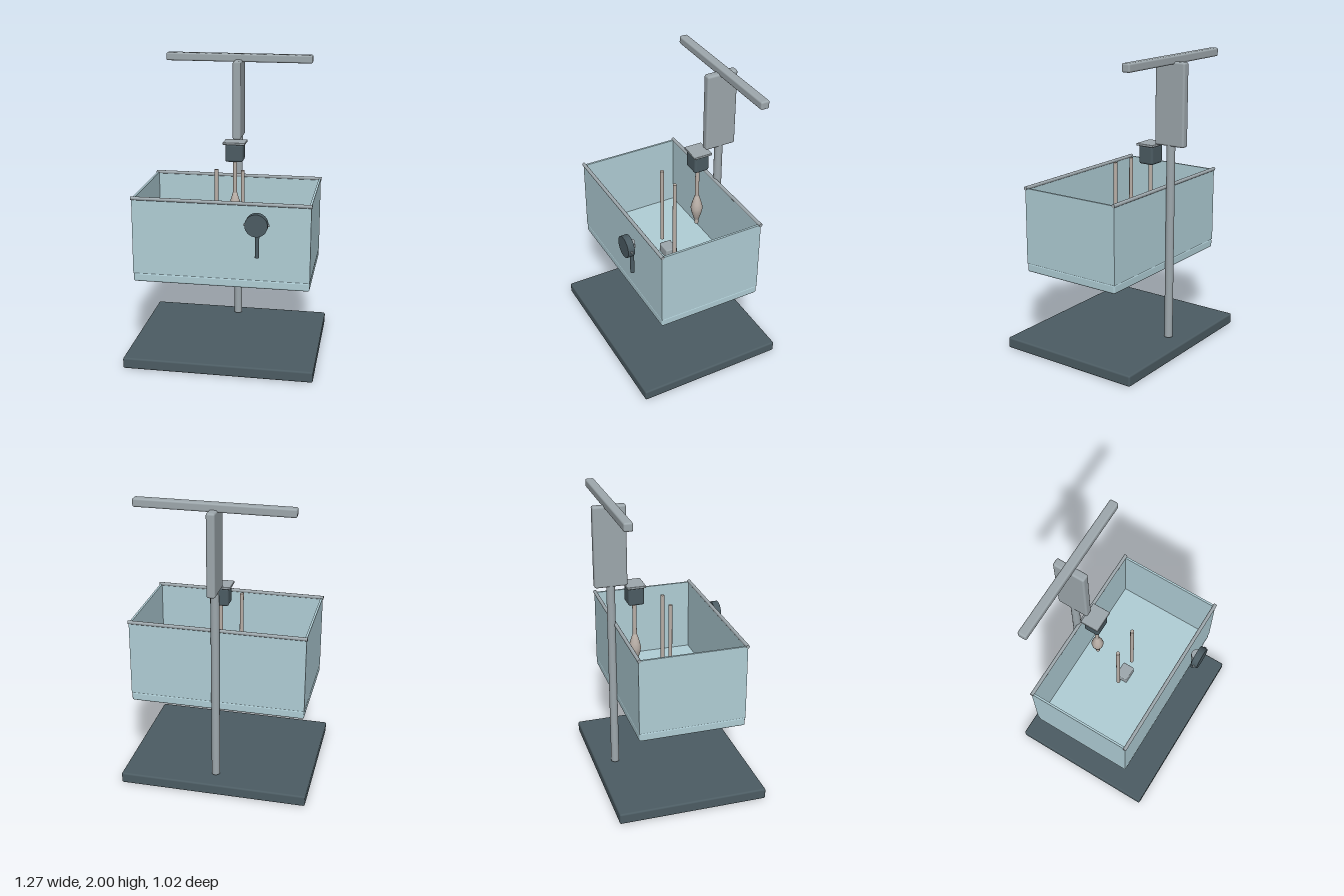
import * as THREE from 'three';
import { RoundedBoxGeometry } from 'three/addons/geometries/RoundedBoxGeometry.js';

const material = (name, color) => {
  const m = new THREE.MeshStandardMaterial({ color });
  m.name = name;
  return m;
};

export function createModel() {
  const model = new THREE.Group();
  model.name = 'laboratoryTank';
  const glass = material('paleBlueGlass', 0xb0ced6);
  const steel = material('greySteel', 0x9ea8ad);
  const dark = material('darkSlate', 0x4c5c63);
  const probe = material('warmGrey', 0xb9afa7);

  const add = (name, geometry, mat, x, y, z) => {
    const mesh = new THREE.Mesh(geometry, mat);
    mesh.name = name;
    mesh.position.set(x, y, z);
    model.add(mesh);
    return mesh;
  };
  // Softly bevelled box given by its centre and size
  const block = (name, mat, [x, y, z], [w, h, d], bevel = 0.008) =>
    add(name, new RoundedBoxGeometry(w, h, d, 2, bevel), mat, x, y, z);
  // Upright rod between two heights
  const rod = (name, mat, x, z, y0, y1, r) =>
    add(name, new THREE.CylinderGeometry(r, r, y1 - y0, 20), mat, x, (y0 + y1) / 2, z);

  // Stand: base slab, post, head plate and crossbar
  block('base', dark, [0, 0.0375, 0], [1.27, 0.075, 1.02], 0.012);
  rod('post', steel, 0, -0.38, 0.09, 1.45, 0.028);
  block('headPlate', steel, [0, 1.688, -0.38], [0.056, 0.545, 0.22], 0.014);
  block('crossbar', steel, [0, 1.972, -0.385], [1.02, 0.056, 0.06], 0.012);

  // Open tank
  block('tankFloor', glass, [0, 0.6, 0], [1.172, 0.06, 0.718], 0.012);
  for (const s of [-1, 1]) {
    add('tankLongWall', new THREE.BoxGeometry(1.174, 0.515, 0.012), glass, 0, 0.885, s * 0.353);
    add('tankEndWall', new THREE.BoxGeometry(0.014, 0.515, 0.694), glass, s * 0.58, 0.885, 0);
    const rail = add('rimRail', new THREE.CylinderGeometry(0.012, 0.012, 1.185, 16), steel, 0, 1.143, s * 0.355);
    rail.rotation.z = Math.PI / 2;
  }

  // Drain under the floor and block inside the tank
  rod('drain', steel, 0, 0, 0.566, 0.59, 0.018);
  block('floorBlock', steel, [0, 0.665, 0], [0.106, 0.07, 0.085]);

  // Pair of upright probes
  for (const s of [-1, 1]) rod('probe', probe, s * 0.09, 0, 0.7, 1.27, 0.013);

  // Stirrer: motor with cap, shaft and spindle-shaped bulb
  block('motor', dark, [0, 1.343, -0.222], [0.124, 0.126, 0.108], 0.016);
  block('motorCap', steel, [0, 1.411, -0.224], [0.154, 0.016, 0.128], 0.004);
  rod('stirrerShaft', probe, 0, -0.222, 0.82, 1.3, 0.014);
  const bulb = [[0, 0.84], [0.018, 0.86], [0.036, 0.92], [0.042, 0.955], [0.034, 0.99], [0.016, 1.05], [0, 1.06]]
    .map(([r, y]) => new THREE.Vector2(r, y));
  add('stirrerBulb', new THREE.LatheGeometry(bulb, 16), probe, 0, 0, -0.222);

  // Dial gauge with hub, cross pin and stem
  const dial = add('gaugeDial', new THREE.CylinderGeometry(0.074, 0.074, 0.046, 32), dark, 0.248, 1.03, 0.436);
  dial.rotation.x = Math.PI / 2;
  const pin = add('gaugePin', new THREE.CylinderGeometry(0.008, 0.008, 0.166, 12), steel, 0.248, 1.03, 0.436);
  pin.rotation.z = Math.PI / 2;
  rod('gaugeHub', steel, 0.248, 0.415, 1.016, 1.054, 0.037);
  rod('gaugeStem', dark, 0.248, 0.4, 0.8, 1.045, 0.014);

  return model;
}
